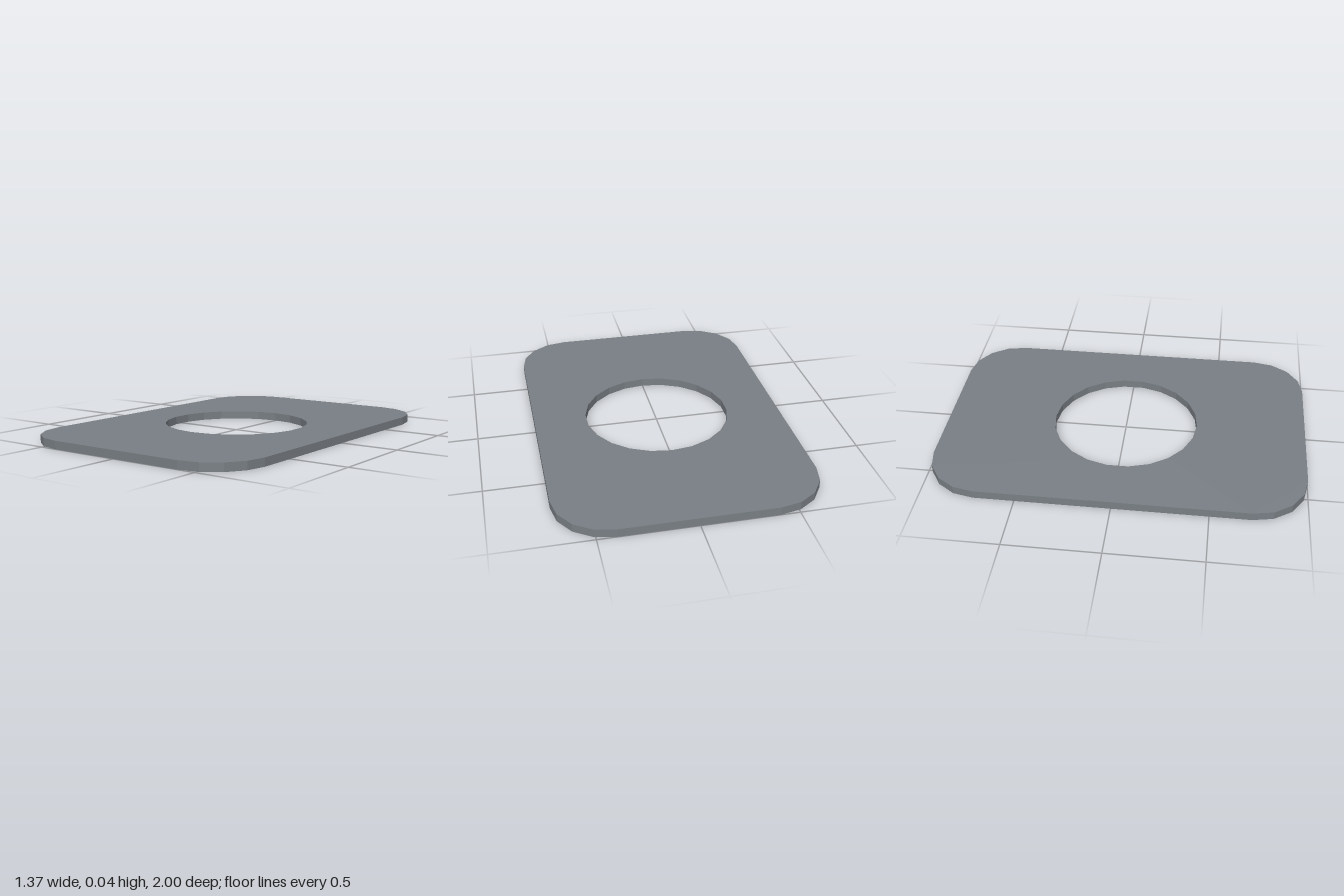
import * as THREE from 'three';

const HALF_WIDTH = 0.685, HALF_LENGTH = 1, THICKNESS = 0.044;
const CORNER_RADIUS = 0.285, CORNER_STEPS = 4;
const HOLE_RADIUS = 0.4, HOLE_SIDES = 22;

// Rectangle outline with faceted round corners, counter-clockwise
function plateOutline() {
  const points = [];
  [[1, 1], [-1, 1], [-1, -1], [1, -1]].forEach(([sx, sy], corner) => {
    for (let i = 0; i <= CORNER_STEPS; i++) {
      const a = (corner + i / CORNER_STEPS) * Math.PI / 2;
      points.push(new THREE.Vector2(
        sx * (HALF_WIDTH - CORNER_RADIUS) + CORNER_RADIUS * Math.cos(a),
        sy * (HALF_LENGTH - CORNER_RADIUS) + CORNER_RADIUS * Math.sin(a)));
    }
  });
  return points;
}

// Regular polygon for the central opening, with a vertex on the long axis
function holeOutline() {
  return Array.from({ length: HOLE_SIDES }, (_, i) => {
    const a = -i / HOLE_SIDES * Math.PI * 2;
    return new THREE.Vector2(HOLE_RADIUS * Math.sin(a), HOLE_RADIUS * Math.cos(a));
  });
}

export function createModel() {
  const group = new THREE.Group();
  group.name = 'washerPlate';

  // Flat plate with the opening cut through, laid on the ground plane
  const shape = new THREE.Shape(plateOutline());
  shape.holes.push(new THREE.Path(holeOutline()));
  const geometry = new THREE.ExtrudeGeometry(shape, { depth: THICKNESS, bevelEnabled: false });
  geometry.rotateX(-Math.PI / 2);

  // Dark bluish grey
  const plate = new THREE.Mesh(geometry,
    new THREE.MeshStandardMaterial({ color: 0x797f85, flatShading: true }));
  plate.name = 'plate';
  group.add(plate);
  return group;
}
